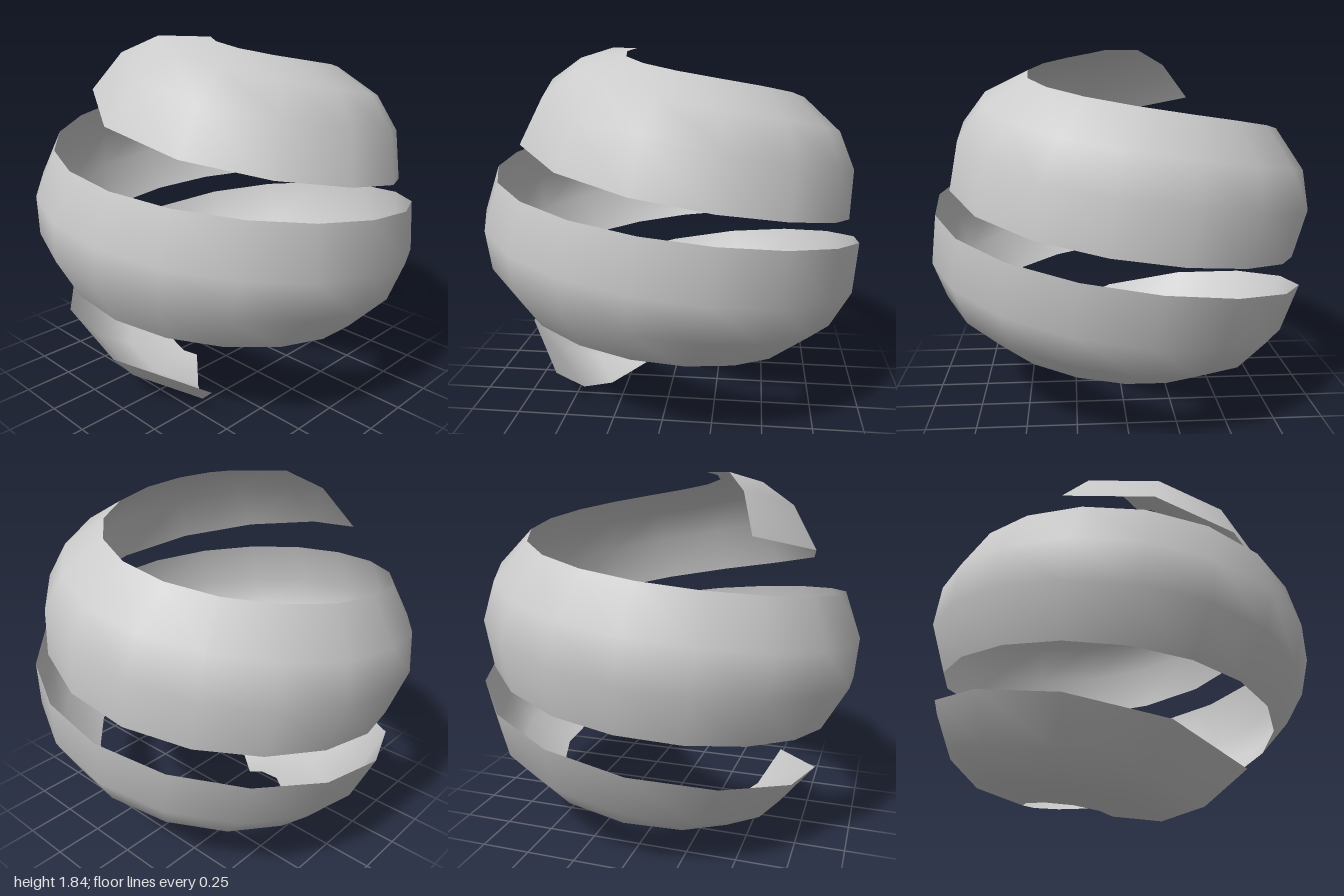
import * as THREE from 'three';

const RAD = Math.PI / 180;
const RADIUS = 0.99;

// Centre line: a spiral down a sphere, steeper towards both poles
class SphereSpiral extends THREE.Curve {
  getPoint(t, target = new THREE.Vector3()) {
    const azimuth = (t * 2 - 1) * 387;            // degrees, 0 = front of the middle turn
    const latitude = -azimuth * (0.109 + 0.000142 * Math.abs(azimuth)) * RAD;
    const r = RADIUS * Math.cos(latitude);
    return target.set(
      r * Math.sin(azimuth * RAD),
      RADIUS * Math.sin(latitude),
      r * Math.cos(azimuth * RAD)
    );
  }
}

export function createModel() {
  const group = new THREE.Group();
  const spiral = new SphereSpiral();
  spiral.arcLengthDivisions = 1000;

  // Cross-section of the peel: [across, outward]
  const profile = [[0.335, -0.108], [0.104, 0], [-0.104, 0], [-0.335, -0.108]];
  const columns = 36;
  const rows = profile.length;
  const positions = [];
  const indices = [];

  for (let i = 0; i < columns; i++) {
    const u = i / (columns - 1);
    const centre = spiral.getPointAt(u);
    const normal = centre.clone().normalize();
    const across = normal.clone().cross(spiral.getTangentAt(u)).normalize();
    // The band rolls slightly about its length on the way down
    const roll = 10 * u * RAD;
    const side = across.clone().multiplyScalar(Math.cos(roll)).addScaledVector(normal, Math.sin(roll));
    const out = normal.clone().multiplyScalar(Math.cos(roll)).addScaledVector(across, -Math.sin(roll));
    profile.forEach(([w, h], j) => {
      const p = centre.clone().addScaledVector(side, w).addScaledVector(out, h);
      positions.push(p.x, p.y, p.z);
      if (i < columns - 1 && j < rows - 1) {
        const a = i * rows + j;
        const b = a + rows;
        indices.push(a, a + 1, b + 1, a, b + 1, b);
      }
    });
  }

  const geometry = new THREE.BufferGeometry();
  geometry.setAttribute('position', new THREE.Float32BufferAttribute(positions, 3));
  geometry.setIndex(indices);
  geometry.computeBoundingBox();
  geometry.translate(0, -geometry.boundingBox.min.y, 0);
  geometry.computeVertexNormals();

  // Thin open ribbon, seen from both sides
  const material = new THREE.MeshStandardMaterial({ color: 0xcccccc, side: THREE.DoubleSide });
  const ribbon = new THREE.Mesh(geometry, material);
  ribbon.name = 'spiralRibbon';
  group.add(ribbon);
  return group;
}
